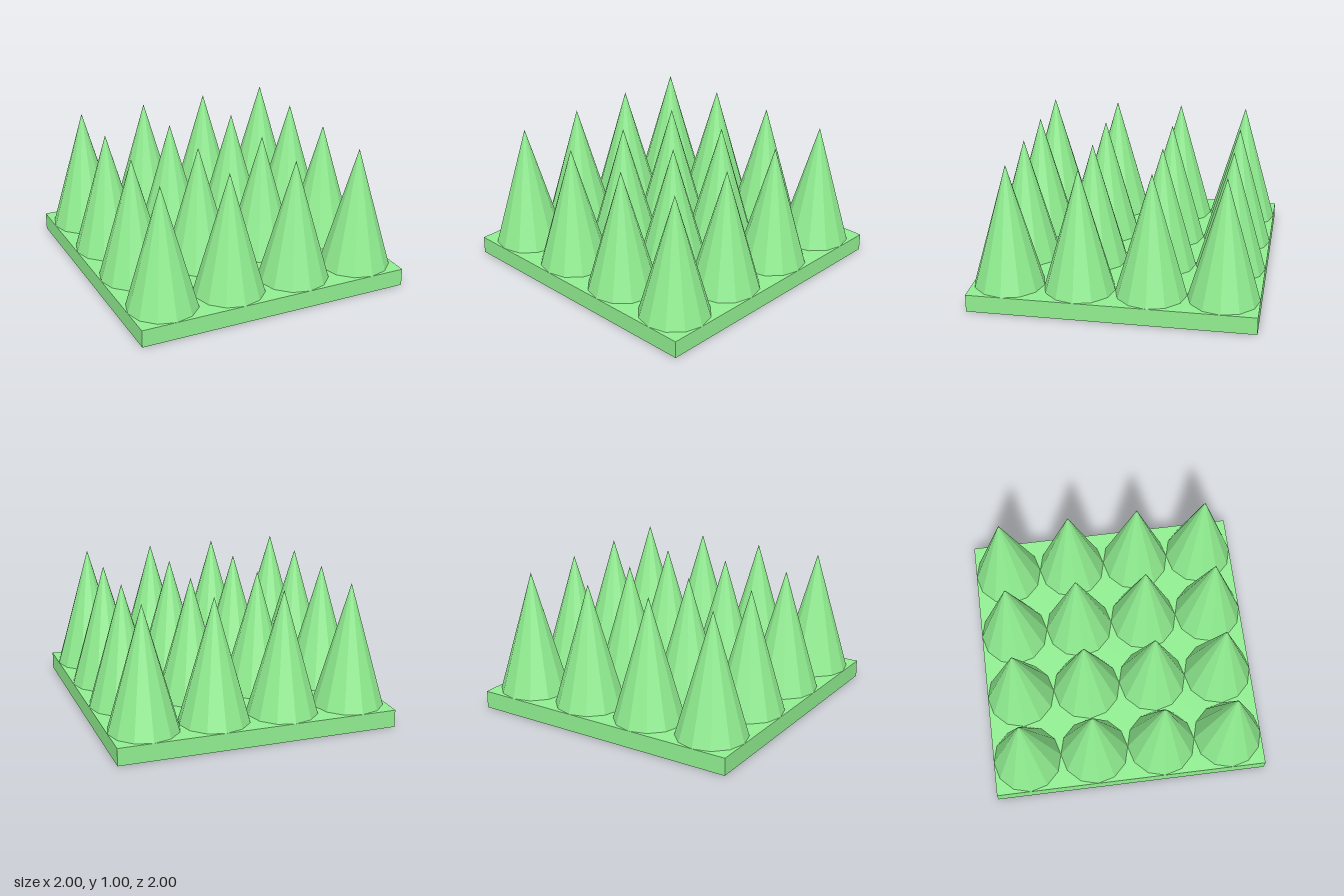
import * as THREE from 'three';

export function createModel() {
  const model = new THREE.Group();
  const material = new THREE.MeshStandardMaterial({ color: 0x90ee90, flatShading: true });

  const baseHeight = 0.125;
  const spikeHeight = 0.875;
  const count = 4;
  const pitch = 2 / count;

  // Square base plate
  const base = new THREE.Mesh(new THREE.BoxGeometry(2, baseHeight, 2), material);
  base.name = 'basePlate';
  base.position.y = baseHeight / 2;
  model.add(base);

  // Grid of twelve-sided spikes, touching their neighbours at the foot
  const spikes = new THREE.Group();
  spikes.name = 'spikes';
  const spikeGeometry = new THREE.ConeGeometry(pitch / 2, spikeHeight, 12);
  for (let row = 0; row < count; row++) {
    for (let col = 0; col < count; col++) {
      const spike = new THREE.Mesh(spikeGeometry, material);
      spike.name = 'spike';
      spike.position.set(
        (col + 0.5) * pitch - 1,
        baseHeight + spikeHeight / 2,
        (row + 0.5) * pitch - 1
      );
      spikes.add(spike);
    }
  }
  model.add(spikes);

  return model;
}
